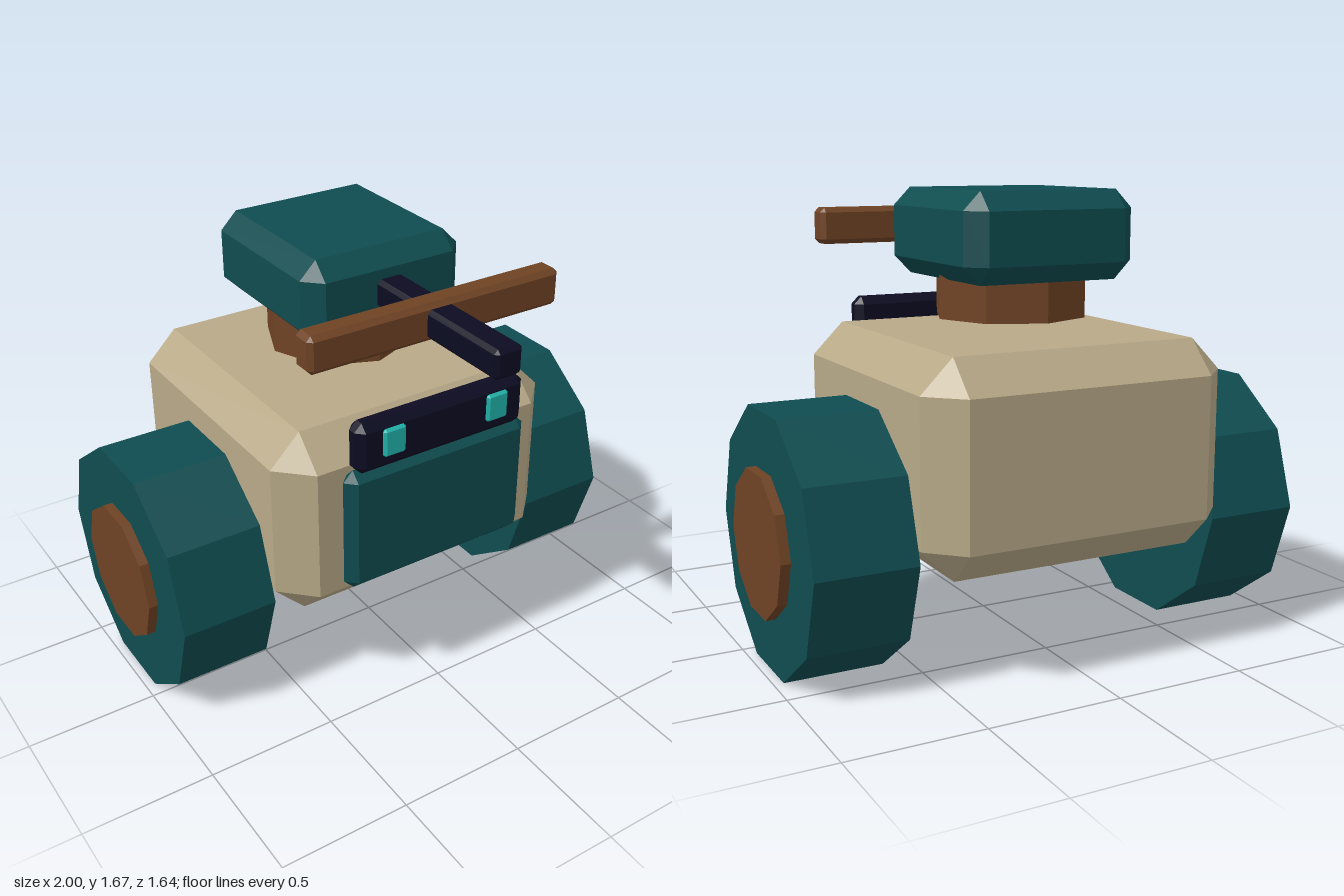
import * as THREE from 'three';
import { ConvexGeometry } from 'three/addons/geometries/ConvexGeometry.js';

const mat = (name, color) => {
  const m = new THREE.MeshStandardMaterial({ color, flatShading: true });
  m.name = name;
  return m;
};

// Box between two corners with every edge chamfered by c
function chamferBox(min, max, c) {
  const centre = min.map((v, i) => (v + max[i]) / 2);
  const half = min.map((v, i) => (max[i] - v) / 2);
  const points = [];
  for (const sx of [-1, 1]) for (const sy of [-1, 1]) for (const sz of [-1, 1]) {
    for (let axis = 0; axis < 3; axis++) {
      const [x, y, z] = half.map((h, i) => (i === axis ? h : h - c));
      points.push(new THREE.Vector3(sx * x, sy * y, sz * z));
    }
  }
  return new ConvexGeometry(points).translate(...centre);
}

export function createModel() {
  const model = new THREE.Group();
  model.name = 'wheeledRobot';

  const teal = mat('teal', 0x0f4c50);
  const tan = mat('tan', 0xb8a988);
  const brown = mat('brown', 0x6f4324);
  const navy = mat('navy', 0x0c0b22);
  const glow = mat('turquoise', 0x22b5ac);

  const add = (name, geometry, material) => {
    const mesh = new THREE.Mesh(geometry, material);
    mesh.name = name;
    model.add(mesh);
    return mesh;
  };

  // Body and front plate
  add('body', chamferBox([-0.593, 0.395, -0.82], [0.593, 1.155, 0.4], 0.12), tan);
  add('chestPlate', chamferBox([-0.395, 0.54, 0.4], [0.395, 1.04, 0.48], 0.039), teal);

  // Visor with two eyes
  add('visor', chamferBox([-0.362, 1.03, 0.4], [0.362, 1.23, 0.49], 0.03), navy);
  for (const [side, s] of [['left', 1], ['right', -1]]) {
    const x = s * 0.222;
    add(side + 'Eye', chamferBox([x - 0.046, 1.093, 0.488], [x + 0.046, 1.202, 0.51], 0.009), glow);

    // Ten-sided wheel with a hub cap on the outside
    const wheel = new THREE.CylinderGeometry(0.489, 0.489, 0.37, 10).rotateZ(Math.PI / 2);
    add(side + 'Wheel', wheel, teal).position.set(s * 0.779, 0.467, -0.21);
    const hub = new THREE.CylinderGeometry(0.269, 0.269, 0.08, 10).rotateZ(Math.PI / 2);
    add(side + 'Hub', hub, brown).position.set(s * 0.96, 0.467, -0.21);
  }

  // Turret: eight-sided neck, floating just above the body, and head
  add('neck', new THREE.CylinderGeometry(0.286, 0.286, 0.21, 8), brown).position.set(0, 1.315, -0.21);
  add('head', chamferBox([-0.336, 1.355, -0.565], [0.336, 1.675, 0.143], 0.066), teal);

  // Forward boom with a crossbar
  add('boom', chamferBox([-0.056, 1.463, 0.1], [0.056, 1.572, 0.82], 0.015), navy);
  add('crossbar', chamferBox([-0.522, 1.45, 0.348], [0.522, 1.59, 0.447], 0.018), brown);

  return model;
}
